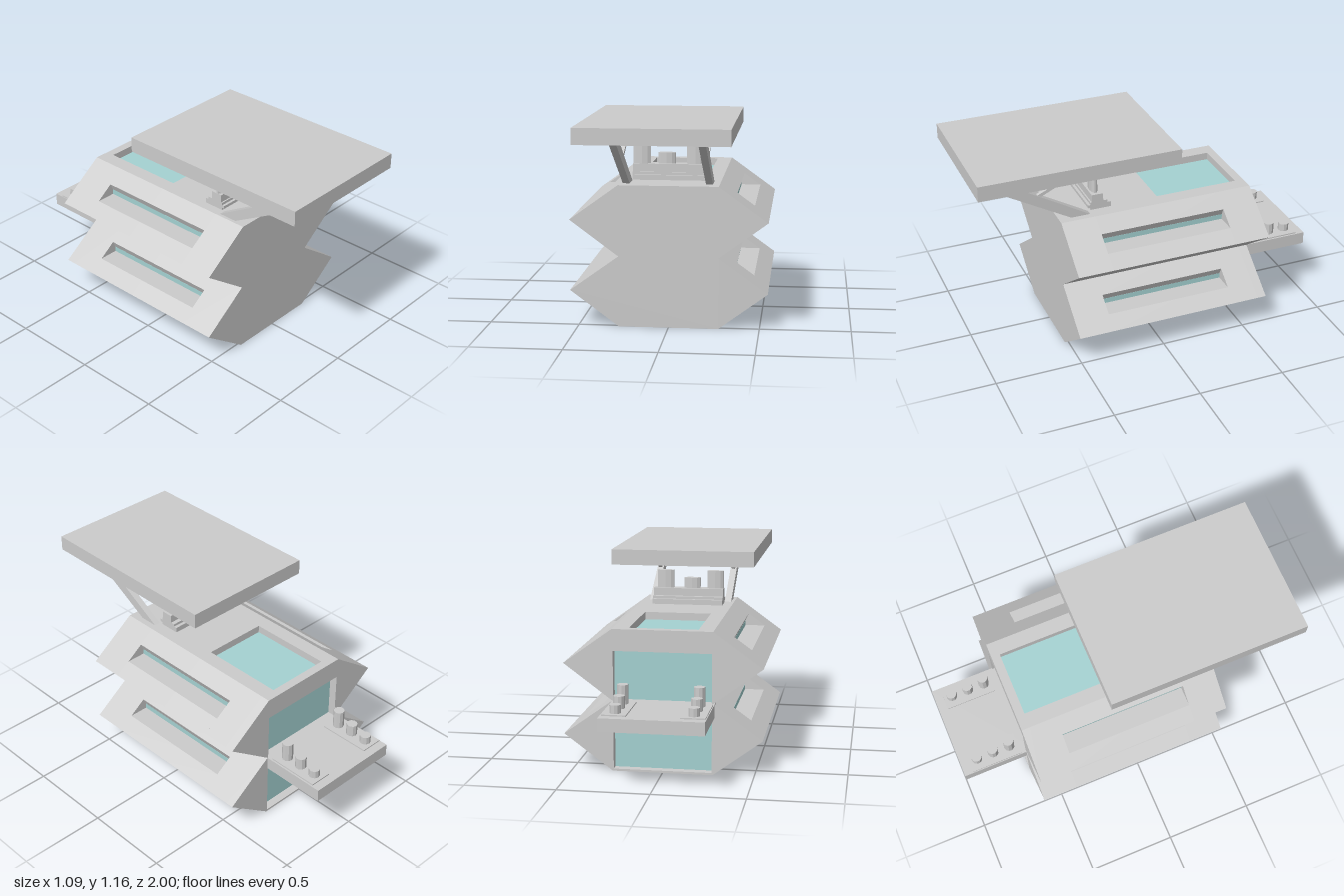
import * as THREE from 'three';

const TIER = 0.395;

export function createModel() {
  const model = new THREE.Group();
  const grey = new THREE.MeshStandardMaterial({ color: 0xcccccc, flatShading: true });
  const glass = new THREE.MeshStandardMaterial({ color: 0xa4d2d2, flatShading: true });

  const add = (name, geometry, material = grey, parent = model) => {
    const mesh = new THREE.Mesh(geometry, material);
    mesh.name = name;
    parent.add(mesh);
    return mesh;
  };
  // Box given by its limits on each axis
  const box = (name, [x0, x1], [y0, y1], [z0, z1], material, parent) => {
    const mesh = add(name, new THREE.BoxGeometry(x1 - x0, y1 - y0, z1 - z0), material, parent);
    mesh.position.set((x0 + x1) / 2, (y0 + y1) / 2, (z0 + z1) / 2);
    return mesh;
  };
  const group = (name) => {
    const g = new THREE.Group();
    g.name = name;
    model.add(g);
    return g;
  };
  const outline = (points) => new THREE.Shape(points.map(([x, y]) => new THREE.Vector2(x, y)));

  // Double hexagon cross-section, optionally notched by window slots and the skylight
  const section = ({ slots, skylight }) => {
    const half = [[0.275, 0]];
    for (const y of [0, TIER]) {
      half.push([0.545, y + 0.2]);
      if (slots) half.push([0.462, y + 0.26], [0.345, y + 0.26], [0.345, y + 0.285], [0.365, y + 0.33]);
      half.push([0.275, y + TIER]);
    }
    if (skylight) half.push([0.19, 2 * TIER], [0.19, 0.745]);
    return outline([...half, ...half.map(([x, y]) => [-x, y]).reverse()]);
  };

  // Hull, built from back to front in slices
  const hull = group('hull');
  const slices = [
    [-0.62, -0.57, { doorway: true }],
    [-0.57, -0.415, { skylight: true }],
    [-0.415, -0.08, { skylight: true, slots: true }],
    [-0.08, 0.32, { slots: true }],
    [0.32, 0.52, {}],
  ];
  for (const [z0, z1, cut] of slices) {
    const shape = section(cut);
    if (cut.doorway) {
      shape.holes.push(outline([[-0.27, 0.012], [-0.27, 0.67], [0.27, 0.67], [0.27, 0.012]]));
    }
    const geometry = new THREE.ExtrudeGeometry(shape, { depth: z1 - z0, bevelEnabled: false });
    add('hullSlice', geometry.translate(0, 0, z0), grey, hull);
  }

  // Glazing
  box('skylightPane', [-0.19, 0.19], [0.735, 0.747], [-0.57, -0.08], glass);
  box('rearPane', [-0.27, 0.27], [0.012, 0.67], [-0.574, -0.565], glass);
  for (const side of [-1, 1]) {
    for (const y of [0, TIER]) {
      const pane = box('sideWindowPane', [0.342, 0.348], [y + 0.26, y + 0.29], [-0.415, 0.32], glass);
      pane.position.x *= side;
    }
  }

  // Rear ledge with two rows of pegs
  const ledge = group('rearLedge');
  box('ledgeSlab', [-0.285, 0.275], [0.322, 0.395], [-1, -0.57], grey, ledge);
  for (const x of [-0.215, 0.2]) {
    box('pegPlate', [x - 0.065, x + 0.065], [0.395, 0.402], [-0.95, -0.65], grey, ledge);
    for (const [z, top] of [[-0.7, 0.508], [-0.8, 0.47], [-0.9, 0.447]]) {
      const peg = add('peg', new THREE.CylinderGeometry(0.031, 0.031, top - 0.4, 10), grey, ledge);
      peg.position.set(x, (top + 0.4) / 2, z);
    }
  }

  // Stepped roof console with three flattened posts
  const consoleGroup = group('roofConsole');
  const tiers = [
    [0.785, 0.803, 0.2, 0.32],
    [0.803, 0.82, 0.2, 0.335],
    [0.82, 0.835, 0.22, 0.32],
    [0.835, 0.88, 0.245, 0.312],
  ];
  for (const [y0, y1, z0, z1] of tiers) {
    box('consoleTier', [-0.22, 0.197], [y0, y1], [z0, z1], grey, consoleGroup);
  }
  for (const [x, top] of [[-0.17, 0.985], [-0.031, 0.942], [0.128, 0.985]]) {
    const post = add('consolePost', new THREE.CylinderGeometry(0.051, 0.051, top - 0.88, 10), grey, consoleGroup);
    post.scale.z = 0.42;
    post.position.set(x, (top + 0.88) / 2, 0.282);
  }

  // Flat panel on two slanted legs, each with a thin brace
  box('roofPanel', [-0.44, 0.37], [1.07, 1.157], [-0.15, 1]);
  const legs = group('panelLegs');
  const sidePlate = (name, points, x, width) => {
    const shape = outline(points.map(([z, y]) => [-z, y]));
    const geometry = new THREE.ExtrudeGeometry(shape, { depth: width, bevelEnabled: false });
    add(name, geometry.translate(0, 0, -width / 2).rotateY(Math.PI / 2).translate(x, 0, 0), grey, legs);
  };
  for (const x of [-0.238, 0.219]) {
    sidePlate('panelLeg', [[0.33, 0.785], [0.44, 0.785], [0.95, 1.075], [0.83, 1.075]], x, 0.038);
    sidePlate('legBrace', [[0.62, 0.948], [0.64, 0.96], [0.385, 1.075], [0.35, 1.075]], x, 0.02);
  }

  return model;
}
